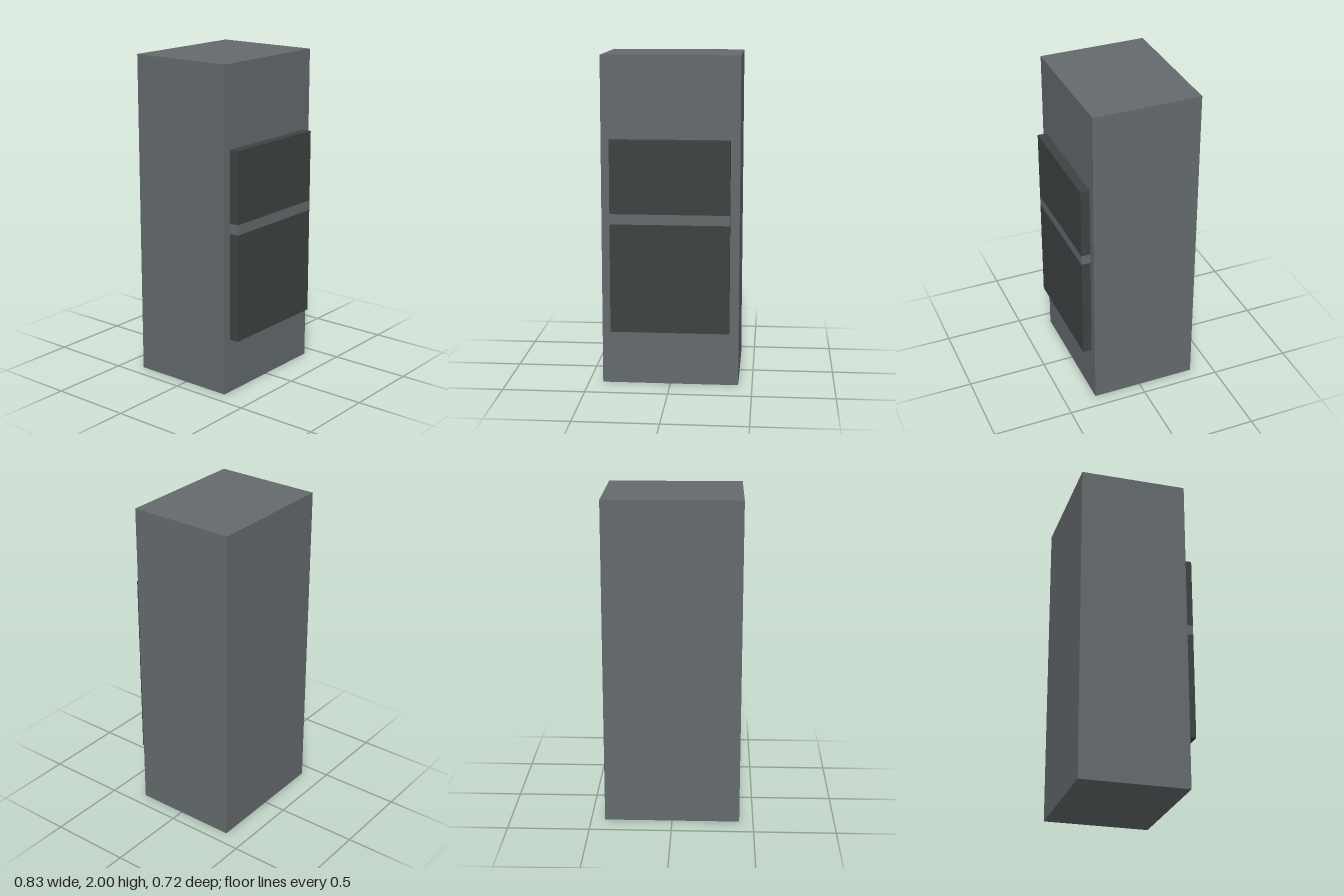
import * as THREE from 'three';

export function createModel() {
  const model = new THREE.Group();
  const grey = new THREE.MeshStandardMaterial({ color: 0x646a6d });
  grey.name = 'slateGrey';
  const dark = new THREE.MeshStandardMaterial({ color: 0x3d4342 });
  dark.name = 'darkGrey';

  // Box spanning the given ranges, centred on x = 0
  function addBox(name, material, width, y0, y1, z0, z1) {
    const mesh = new THREE.Mesh(new THREE.BoxGeometry(width, y1 - y0, z1 - z0), material);
    mesh.position.set(0, (y0 + y1) / 2, (z0 + z1) / 2);
    mesh.name = name;
    model.add(mesh);
  }

  // Tall cabinet
  addBox('cabinetBody', grey, 0.83, 0, 2, -0.36, 0.303);

  // Raised front panel: two dark doors with a flush grey band between them
  addBox('lowerPanel', dark, 0.718, 0.337, 1.0, 0.303, 0.36);
  addBox('dividerBand', grey, 0.718, 1.0, 1.062, 0.303, 0.36);
  addBox('upperPanel', dark, 0.718, 1.062, 1.504, 0.303, 0.36);

  return model;
}
